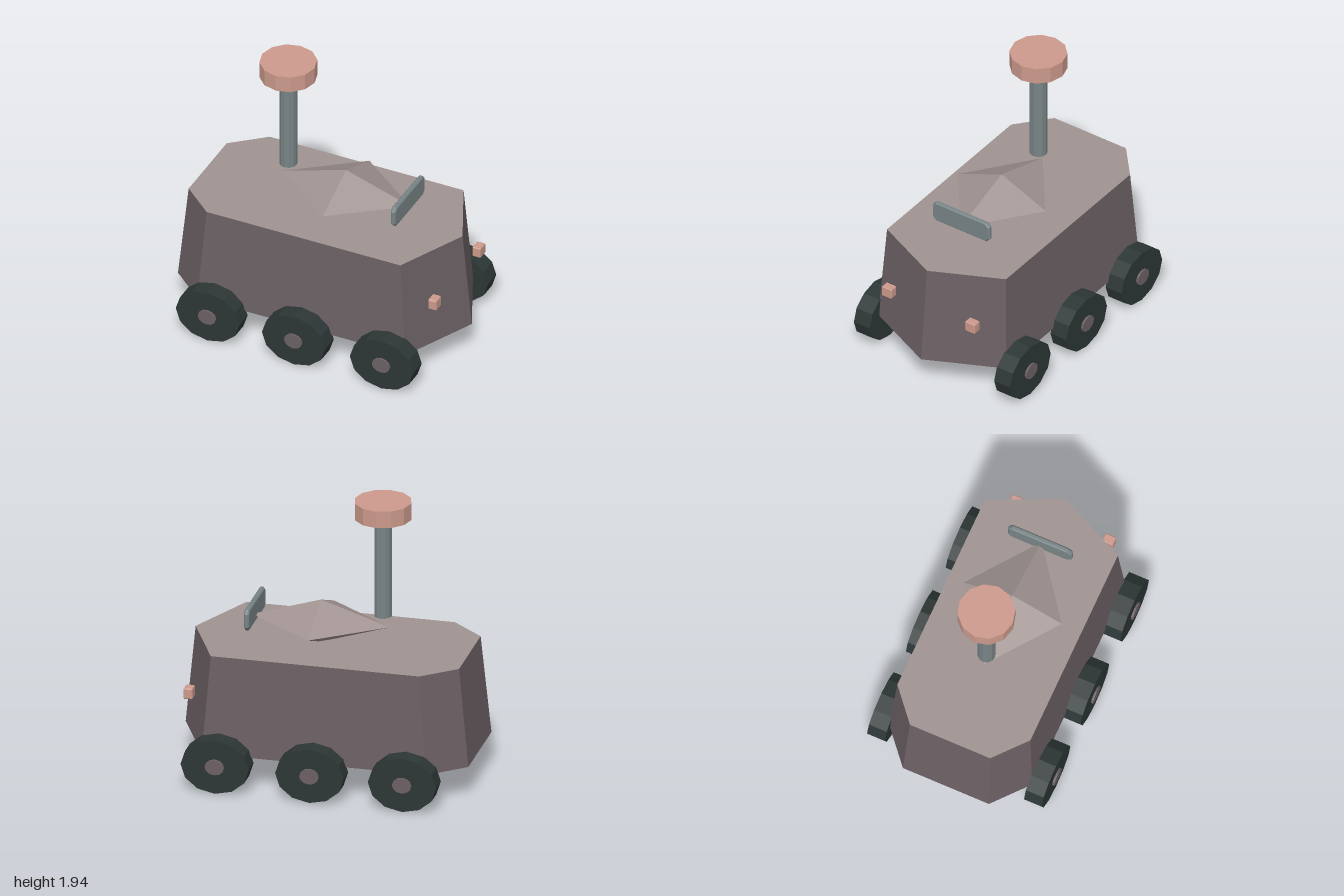
import * as THREE from 'three';

const paint = (name, color) => {
  const m = new THREE.MeshStandardMaterial({ color });
  m.name = name;
  return m;
};

// Flat-faced copy of a geometry
function faceted(geometry) {
  const g = geometry.index ? geometry.toNonIndexed() : geometry;
  g.computeVertexNormals();
  return g;
}

// Box with cut corners and a small bevel, thickness along x
function cutBox(tx, ty, tz, cut, bevel) {
  const h = ty / 2 - bevel, w = tz / 2 - bevel;
  const shape = new THREE.Shape([
    [-w + cut, -h], [w - cut, -h], [w, -h + cut], [w, h - cut],
    [w - cut, h], [-w + cut, h], [-w, h - cut], [-w, -h + cut],
  ].map(([a, b]) => new THREE.Vector2(a, b)));
  const g = new THREE.ExtrudeGeometry(shape, {
    depth: tx - 2 * bevel, bevelSize: bevel, bevelThickness: bevel, bevelSegments: 1,
  });
  g.translate(0, 0, -tx / 2 + bevel);
  return faceted(g.rotateY(Math.PI / 2));
}

export function createModel() {
  const hullPaint = paint('dark mauve', 0x6c6165);
  const deckPaint = paint('pale mauve', 0xa09391);
  const metal = paint('grey metal', 0x788486);
  const rubber = paint('dark rubber', 0x2d3736);
  const coral = paint('coral', 0xcc9a8c);

  const model = new THREE.Group();
  model.name = 'rover';
  const add = (name, geometry, material, x, y, z, parent = model) => {
    const mesh = new THREE.Mesh(geometry, material);
    mesh.name = name;
    mesh.position.set(x, y, z);
    parent.add(mesh);
    return mesh;
  };

  // Hull: pointed outline, extruded upward and tapered toward the deck
  const outline = new THREE.Shape([
    [1, 0], [0.76, 0.515], [-0.76, 0.515], [-1, 0.31],
    [-1, -0.31], [-0.76, -0.515], [0.76, -0.515],
  ].map(([x, z]) => new THREE.Vector2(x, z)));
  const height = 0.685;
  const hull = new THREE.ExtrudeGeometry(outline, { depth: height, bevelEnabled: false });
  hull.rotateX(-Math.PI / 2);
  const p = hull.attributes.position;
  for (let i = 0; i < p.count; i++) {
    const s = 1 - 0.068 * p.getY(i) / height;
    p.setX(i, p.getX(i) * s);
    p.setZ(i, p.getZ(i) * s);
  }
  add('hull', faceted(hull), [deckPaint, hullPaint], 0, 0.23, 0);

  // Diamond turret with a front shield
  const turret = new THREE.OctahedronGeometry(1, 0).scale(0.47, 0.15, 0.355);
  add('turret', faceted(turret), deckPaint, 0.08, 1.04, 0);
  add('shield', cutBox(0.036, 0.15, 0.46, 0.022, 0.01), metal, 0.531, 1.08, 0);

  // Mast and its round head
  add('mast', faceted(new THREE.CylinderGeometry(0.06, 0.06, 0.7, 12)), metal, -0.342, 1.47, 0);
  add('mastHead', faceted(new THREE.CylinderGeometry(0.192, 0.192, 0.118, 12)), coral, -0.342, 1.879, 0);

  // Headlamps
  for (const side of [-1, 1]) {
    add('headlamp', cutBox(0.06, 0.076, 0.08, 0.004, 0.005), coral, 0.89, 0.583, side * 0.336);
  }

  // Six slightly oval wheels with hubs
  const disc = (rx, ry, depth) => faceted(
    new THREE.CylinderGeometry(1, 1, depth, 12).rotateX(Math.PI / 2).scale(rx, ry, 1));
  const tyre = disc(0.232, 0.191, 0.128);
  const hub = disc(0.065, 0.054, 0.06);
  for (const side of [-1, 1]) {
    for (const x of [-0.63, 0, 0.643]) {
      const wheel = new THREE.Group();
      wheel.name = 'wheel';
      wheel.position.set(x, 0.191, side * 0.566);
      model.add(wheel);
      add('tyre', tyre, rubber, 0, 0, 0, wheel);
      add('hub', hub, hullPaint, 0, 0, side * 0.048, wheel);
    }
  }
  return model;
}
